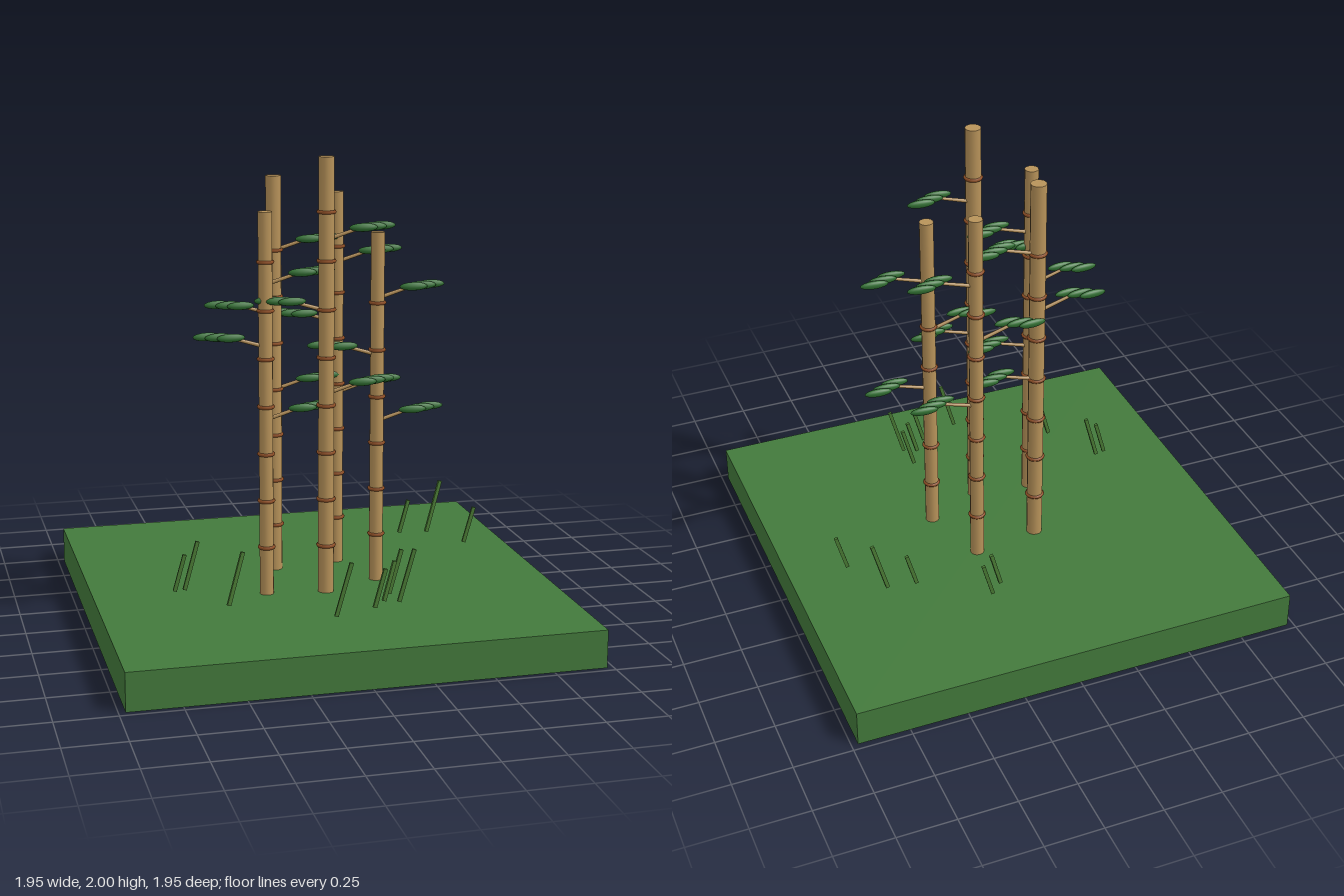
import * as THREE from 'three';

const mat = (color) => new THREE.MeshStandardMaterial({ color });
const GROUND_Y = 0.16;

export function createModel() {
  const model = new THREE.Group();
  const ground = mat(0x437a3c), cane = mat(0xb8935a), ringMat = mat(0x8f4f26);
  const twig = mat(0xa9854f), leafMat = mat(0x2f6f30), grass = mat(0x4a7a34);

  const add = (parent, name, geometry, material, x = 0, y = 0, z = 0) => {
    const mesh = new THREE.Mesh(geometry, material);
    mesh.name = name;
    mesh.position.set(x, y, z);
    parent.add(mesh);
    return mesh;
  };

  // Ground slab
  add(model, 'ground', new THREE.BoxGeometry(1.945, GROUND_Y, 1.945), ground, 0, GROUND_Y / 2, 0);

  // Spindle-shaped leaf shared by all sprays
  const leafGeometry = new THREE.SphereGeometry(1, 10, 8).rotateZ(Math.PI / 2).scale(0.06, 0.018, 0.015);

  // Slanted twig with three staggered leaves; side is +1 or -1 along x
  const addSpray = (stalk, side, y) => {
    const spray = new THREE.Group();
    spray.name = 'leafSpray';
    spray.position.y = y;
    const dx = 0.2, dy = 0.06;
    const branch = add(spray, 'twig', new THREE.CylinderGeometry(0.006, 0.009, Math.hypot(dx, dy), 8),
      twig, side * dx / 2, dy / 2 - 0.008, 0);
    branch.rotation.z = -side * Math.atan2(dx, dy);
    [[0.15, 0.025], [0.195, 0], [0.24, -0.025]].forEach(([x, z]) => {
      const leaf = add(spray, 'leaf', leafGeometry, leafMat, side * x, 0.04, z);
      leaf.rotation.y = -side * 0.06;
    });
    stalk.add(spray);
  };

  // Stalks: x, z, top height, radius, number of joint rings
  const stalks = [
    [-0.25, 0.19, 1.78, 0.03, 7],
    [-0.14, -0.14, 1.89, 0.034, 7],
    [0, 0.22, 2.0, 0.034, 8],
    [0.15, -0.185, 1.81, 0.03, 7],
    [0.25, 0.11, 1.67, 0.03, 6],
  ];
  for (const [x, z, top, r, rings] of stalks) {
    const stalk = new THREE.Group();
    stalk.name = 'stalk';
    stalk.position.set(x, GROUND_Y, z);
    const h = top - GROUND_Y;
    add(stalk, 'cane', new THREE.CylinderGeometry(r, r, h, 12), cane, 0, h / 2, 0);
    const ringGeometry = new THREE.TorusGeometry(r, 0.008, 6, 16).rotateX(Math.PI / 2);
    for (let i = 0; i < rings; i++) add(stalk, 'jointRing', ringGeometry, ringMat, 0, 0.205 + i * 0.2015, 0);
    [[0.47, 1], [0.66, -1], [0.82, 1]].forEach(([f, side]) => addSpray(stalk, side, f * h));
    model.add(stalk);
  }

  // Leaning grass blades: centre x, centre z, tip height
  const blades = [
    [-0.63, 0.235, 0.37], [-0.58, 0.225, 0.42], [-0.44, 0.465, 0.435], [-0.05, 0.705, 0.435],
    [0.12, 0.635, 0.375], [0.18, 0.56, 0.38], [0.245, 0.59, 0.435], [0.23, 0.475, 0.4],
    [0.185, -0.49, 0.375], [0.24, -0.54, 0.365], [0.515, -0.355, 0.365], [0.65, -0.34, 0.45],
    [0.755, -0.14, 0.375],
  ];
  const lean = 0.27, base = 0.215;
  blades.forEach(([x, z, tip], i) => {
    const length = (tip - base) / Math.cos(lean);
    const blade = add(model, 'grassBlade', new THREE.BoxGeometry(0.016, length, 0.013), grass,
      x, (base + tip) / 2, z);
    blade.rotation.set(0, ((i % 3) - 1) * 0.1, -lean);
  });

  return model;
}
